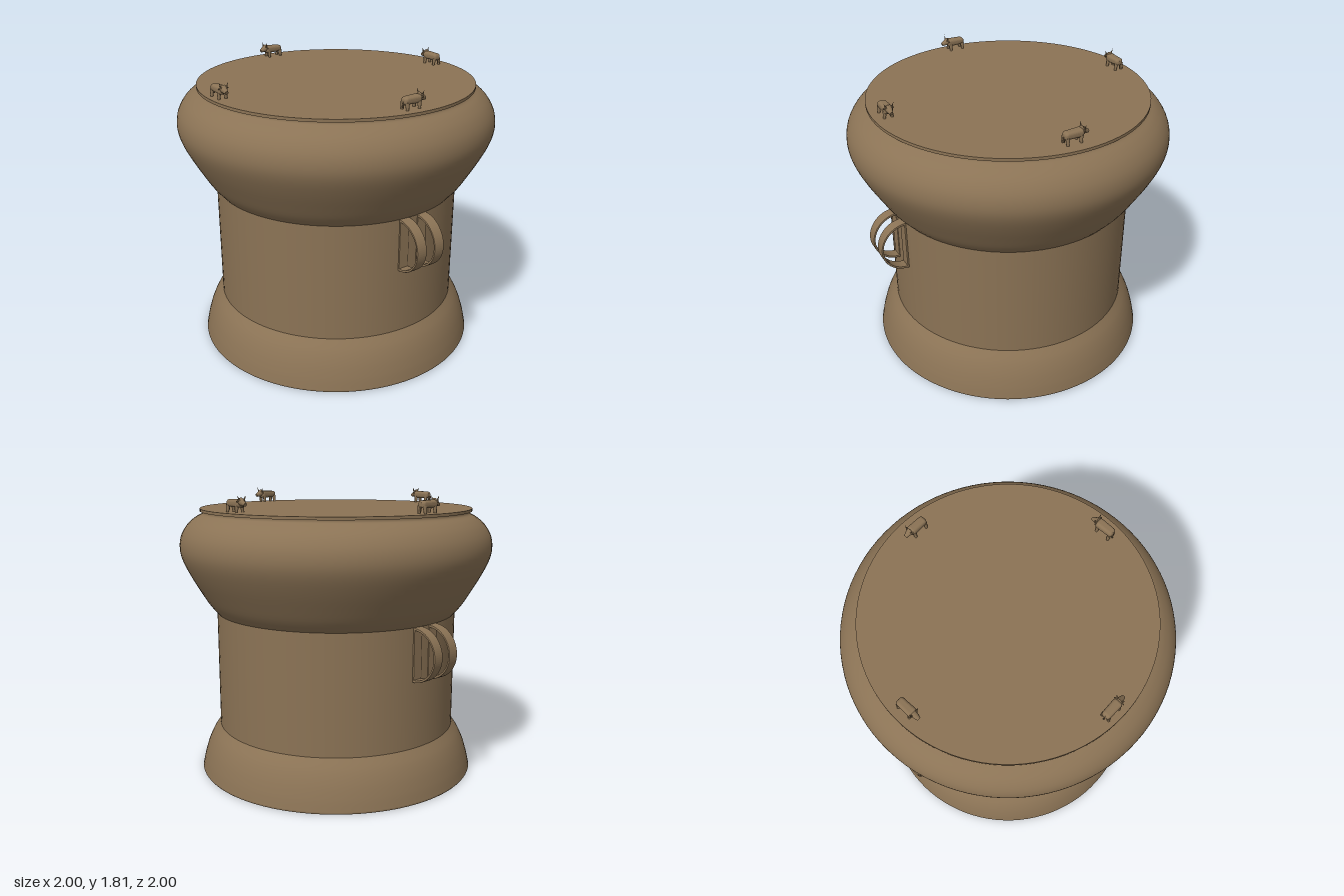
import * as THREE from 'three';
import { RoundedBoxGeometry } from 'three/addons/geometries/RoundedBoxGeometry.js';

const bronze = new THREE.MeshStandardMaterial({ color: 0x8b7355 });
bronze.name = 'bronze';

function add(parent, name, geometry, x = 0, y = 0, z = 0) {
  const mesh = new THREE.Mesh(geometry, bronze);
  mesh.name = name;
  mesh.position.set(x, y, z);
  parent.add(mesh);
  return mesh;
}

// Separate lathes keep the edges between sections crisp
function turned(parent, name, points, smooth = false) {
  let profile = points.map(([r, y]) => new THREE.Vector2(r, y));
  if (smooth) profile = new THREE.SplineCurve(profile).getPoints(32);
  return add(parent, name, new THREE.LatheGeometry(profile, 96));
}

// Closed D-shaped strap: an arc with a thin bar against the wall
function strapGeometry() {
  const half = (r, x) => {
    const path = new THREE.Path();
    path.moveTo(x, -r);
    path.absarc(x, 0, r, -Math.PI / 2, Math.PI / 2, false);
    path.closePath();
    return path.getPoints(20);
  };
  const shape = new THREE.Shape(half(0.162, 0));
  shape.holes.push(new THREE.Path(half(0.154, 0.004)));
  return new THREE.ExtrudeGeometry(shape, {
    depth: 0.062, bevelThickness: 0.004, bevelSize: 0.004, bevelSegments: 2,
  }).translate(0, 0, -0.031);
}

// Small horned ox facing +x, standing on its own y = 0
function createOx() {
  const ox = new THREE.Group();
  ox.name = 'ox';

  // Body, narrower and lower toward the rump
  const body = new RoundedBoxGeometry(0.122, 0.046, 0.056, 3, 0.018);
  const p = body.attributes.position;
  for (let i = 0; i < p.count; i++) {
    const t = p.getX(i) / 0.061;
    p.setY(i, p.getY(i) * (1 + 0.08 * t) + 0.006 * (1 - t * t));
    p.setZ(i, p.getZ(i) * (1 + 0.06 * t));
  }
  body.computeVertexNormals();
  add(ox, 'body', body, -0.018, 0.051, 0);

  for (const side of [-1, 1]) {
    for (const x of [-0.064, 0.022]) {
      const leg = add(ox, 'leg', new THREE.CylinderGeometry(0.013, 0.008, 0.046, 8), x, 0.022, side * 0.021);
      leg.rotation.x = -side * 0.12;
    }
    const horn = add(ox, 'horn', new THREE.ConeGeometry(0.006, 0.034, 8), 0.045, 0.086, side * 0.023);
    horn.rotation.x = side * 0.4;
    const ear = add(ox, 'ear', new THREE.SphereGeometry(0.008, 8, 6), 0.038, 0.066, side * 0.026);
    ear.scale.set(0.6, 0.6, 1);
  }

  // Head tapering to the muzzle
  const head = add(ox, 'head', new THREE.CylinderGeometry(0.011, 0.025, 0.05, 10), 0.055, 0.056, 0);
  head.rotation.z = -Math.PI / 2 - 0.35;
  const tail = add(ox, 'tail', new THREE.CylinderGeometry(0.003, 0.005, 0.05, 6), -0.077, 0.04, 0);
  tail.rotation.z = -0.06;
  return ox;
}

export function createModel() {
  const drum = new THREE.Group();
  drum.name = 'bronzeDrum';

  // Drum body from the ground up
  turned(drum, 'base', [[0, 0], [0.895, 0]]);
  turned(drum, 'footEdge', [[0.895, 0], [0.9, 0.006], [0.898, 0.014]]);
  turned(drum, 'foot', [[0.898, 0.014], [0.882, 0.085], [0.856, 0.165], [0.822, 0.235], [0.776, 0.3]], true);
  turned(drum, 'waist', [[0.776, 0.3], [0.776, 1.05]]);
  turned(drum, 'shoulder', [
    [0.776, 1.05], [0.826, 1.11], [0.879, 1.195], [0.937, 1.295], [0.982, 1.39], [0.998, 1.465],
    [0.987, 1.54], [0.95, 1.605], [0.9, 1.65], [0.855, 1.675], [0.85, 1.693],
  ], true);
  turned(drum, 'rimUnderside', [[0.84, 1.692], [0.866, 1.692]]);
  turned(drum, 'rim', [[0.866, 1.692], [0.866, 1.71]]);
  turned(drum, 'drumhead', [[0.866, 1.71], [0, 1.71]]);

  // Paired strap handles on both sides
  const strap = strapGeometry();
  for (const turn of [0, Math.PI]) {
    const handle = new THREE.Group();
    handle.name = turn ? 'rightHandle' : 'leftHandle';
    handle.rotation.y = turn;
    for (const z of [-0.066, 0.066]) add(handle, 'strap', strap, 0.773, 0.884, z);
    drum.add(handle);
  }

  // Four oxen walking around the rim
  const places = [[-0.02, 0.8], [0.78, 0.035], [0.02, -0.765], [-0.785, 0]];
  places.forEach(([x, z], i) => {
    const ox = createOx();
    ox.position.set(x, 1.708, z);
    ox.rotation.y = i * Math.PI / 2;
    drum.add(ox);
  });
  return drum;
}
